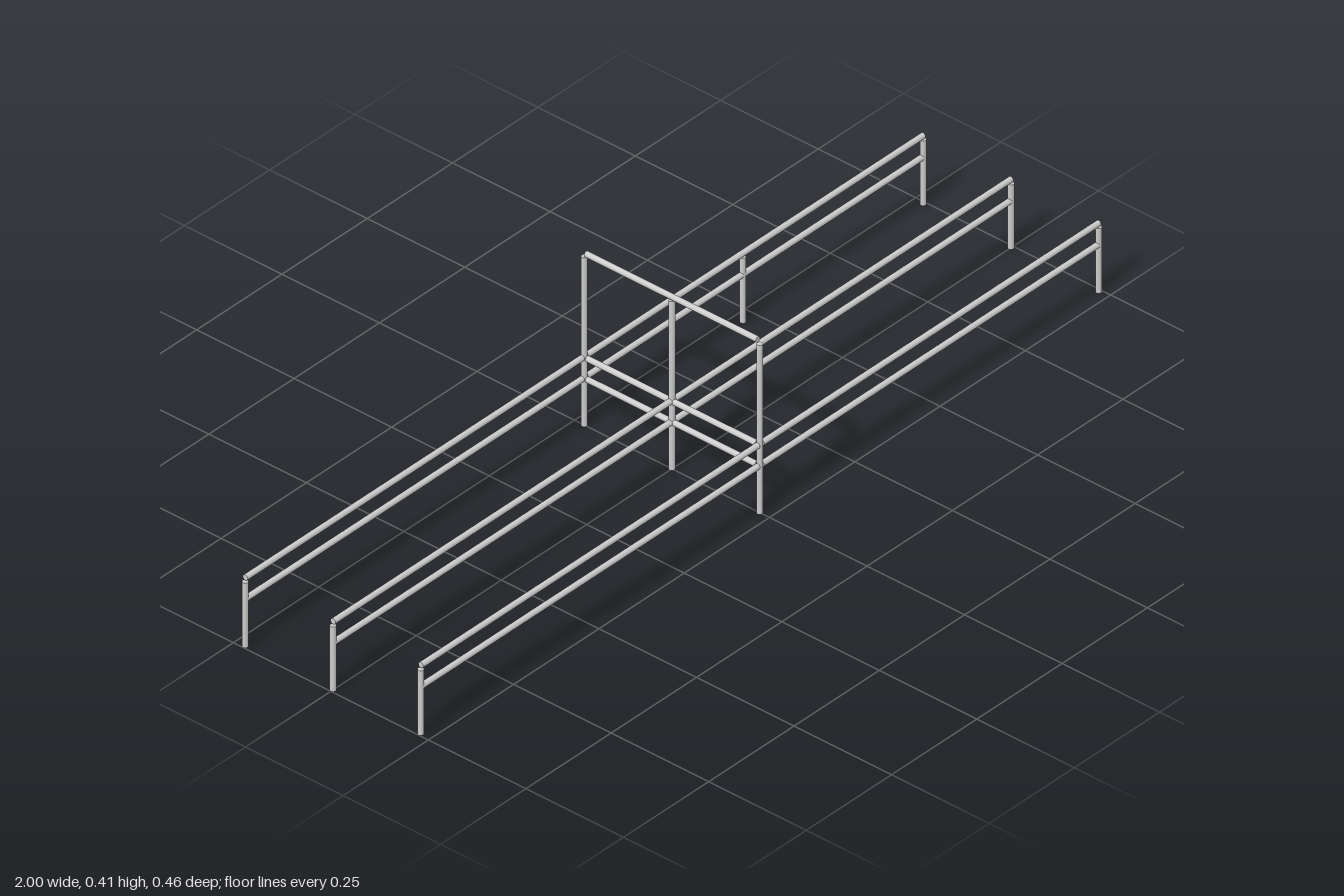
import * as THREE from 'three';

const R = 0.0065; // tube radius shared by every bar
const ROW = 0.225; // spacing between the three rows
const END = 0.9935; // x of the end posts

export function createModel() {
  const group = new THREE.Group();
  const material = new THREE.MeshStandardMaterial({ color: 0xcccccc });

  // Straight round bar along one axis, centred at (x, y, z)
  function bar(name, axis, length, x, y, z) {
    const geometry = new THREE.CylinderGeometry(R, R, length, 20);
    if (axis === 'x') geometry.rotateZ(Math.PI / 2);
    if (axis === 'z') geometry.rotateX(Math.PI / 2);
    const mesh = new THREE.Mesh(geometry, material);
    mesh.name = name;
    mesh.position.set(x, y, z);
    group.add(mesh);
  }
  const post = (name, height, x, z) => bar(name, 'y', height, x, height / 2, z);

  for (const z of [-ROW, 0, ROW]) {
    // Tall post in the middle of each row
    post('middlePost', 0.397, 0, z);
    for (const side of [-1, 1]) {
      post('endPost', 0.152, side * END, z);
      // Rails run from the middle post out to the end post
      const inner = 0.006;
      const x = side * (END + inner) / 2;
      bar('upperRail', 'x', END - inner, x, 0.161, z);
      bar('lowerRail', 'x', END - inner, x, 0.1115, z);
    }
  }

  // Single extra support under the back row
  post('supportPost', 0.152, 0.465, -ROW);

  // Bars joining the three middle posts
  bar('topCrossbar', 'z', 0.44, 0, 0.4045, 0);
  bar('upperCrossbar', 'z', 0.434, 0, 0.1595, 0);
  bar('lowerCrossbar', 'z', 0.434, 0, 0.1105, 0);

  return group;
}
